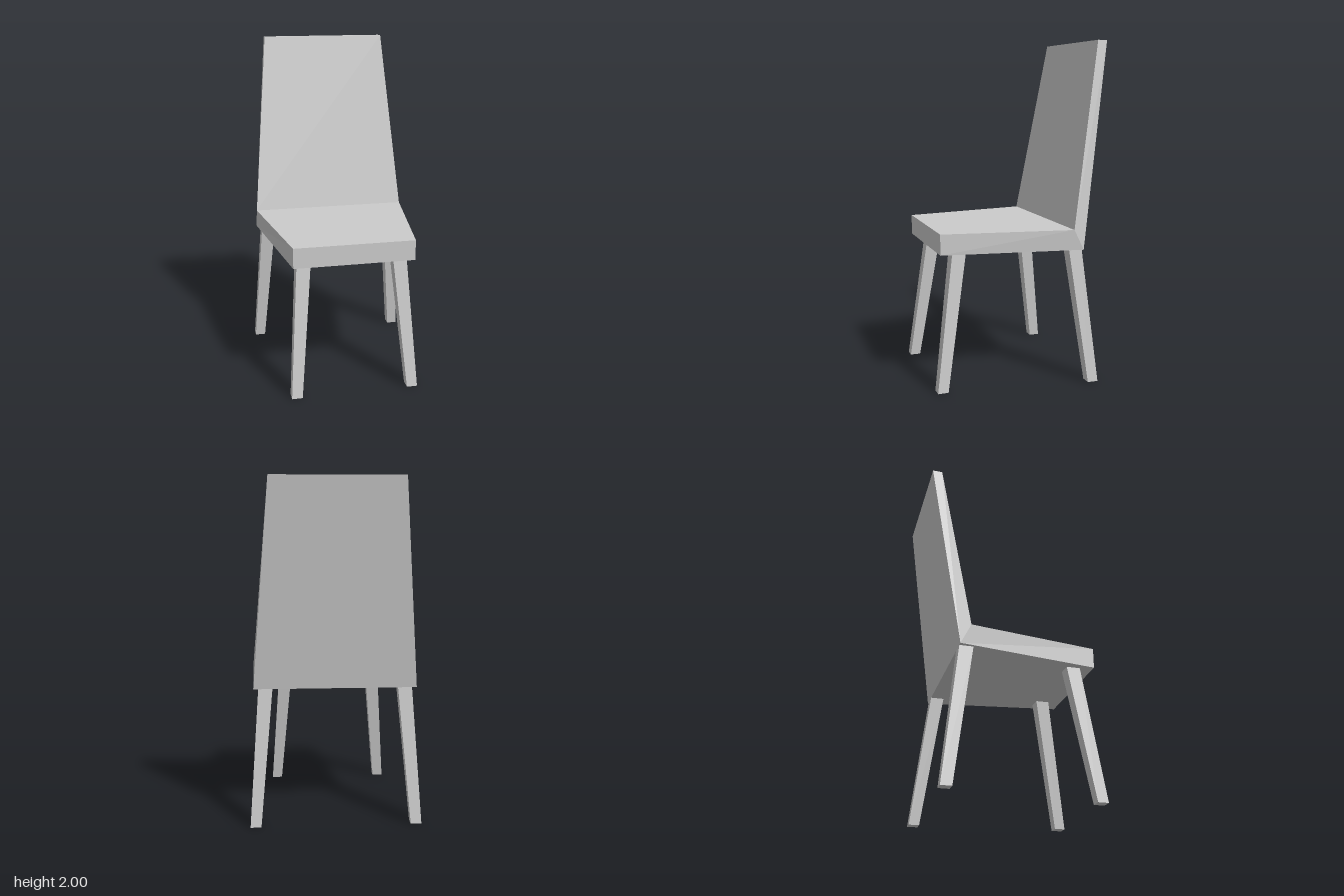
import * as THREE from 'three';

const material = new THREE.MeshStandardMaterial({ color: 0xcccccc, flatShading: true });

// Four corners of a symmetric trapezoid: front-left, front-right, back-right, back-left
const ring = (front, back) => [
  [-front.x, front.y, front.z], [front.x, front.y, front.z],
  [back.x, back.y, back.z], [-back.x, back.y, back.z],
];

// Four corners of a level rectangle
const rect = (x0, x1, y, zFront, zBack) => [[x0, y, zFront], [x1, y, zFront], [x1, y, zBack], [x0, y, zBack]];

// Six-sided block between two corner rings; faces hidden inside a joint can be left out
function block(name, lower, upper, hidden = []) {
  const faces = { top: upper, bottom: [...lower].reverse() };
  ['front', 'right', 'back', 'left'].forEach((side, i) => {
    const j = (i + 1) % 4;
    faces[side] = [lower[i], lower[j], upper[j], upper[i]];
  });
  const positions = [];
  for (const [side, [a, b, c, d]] of Object.entries(faces)) {
    if (!hidden.includes(side)) positions.push(...a, ...b, ...c, ...a, ...c, ...d);
  }
  const geometry = new THREE.BufferGeometry();
  geometry.setAttribute('position', new THREE.Float32BufferAttribute(positions, 3));
  geometry.computeVertexNormals();
  const mesh = new THREE.Mesh(geometry, material);
  mesh.name = name;
  return mesh;
}

export function createModel() {
  const chair = new THREE.Group();
  chair.name = 'chair';

  // Seat and backrest share a slanted mitre joint
  const jointTop = { x: 0.475, y: 0.92, z: -0.28 };
  const jointBottom = { x: 0.475, y: 0.8, z: -0.34 };

  // Seat, narrowing toward the front
  chair.add(block('seat',
    ring({ x: 0.355, y: 0.8, z: 0.485 }, jointBottom),
    ring({ x: 0.355, y: 0.92, z: 0.485 }, jointTop), ['back']));

  // Backrest, leaning back and narrowing toward the top
  chair.add(block('backrest',
    ring(jointTop, jointBottom),
    ring({ x: 0.375, y: 2, z: -0.458 }, { x: 0.375, y: 2, z: -0.515 }), ['bottom']));

  // Splayed, tapered legs, mirrored left and right
  for (const side of [1, -1]) {
    const foot = (a, b, y, zFront, zBack) =>
      rect(Math.min(side * a, side * b), Math.max(side * a, side * b), y, zFront, zBack);
    const label = side > 0 ? 'Left' : 'Right';
    chair.add(block(`front${label}Leg`,
      foot(0.317, 0.38, 0, 0.515, 0.453), foot(0.243, 0.325, 0.8, 0.408, 0.327), ['top']));
    chair.add(block(`back${label}Leg`,
      foot(0.437, 0.5, 0, -0.37, -0.433), foot(0.365, 0.447, 0.8, -0.26, -0.34), ['top']));
  }
  return chair;
}
